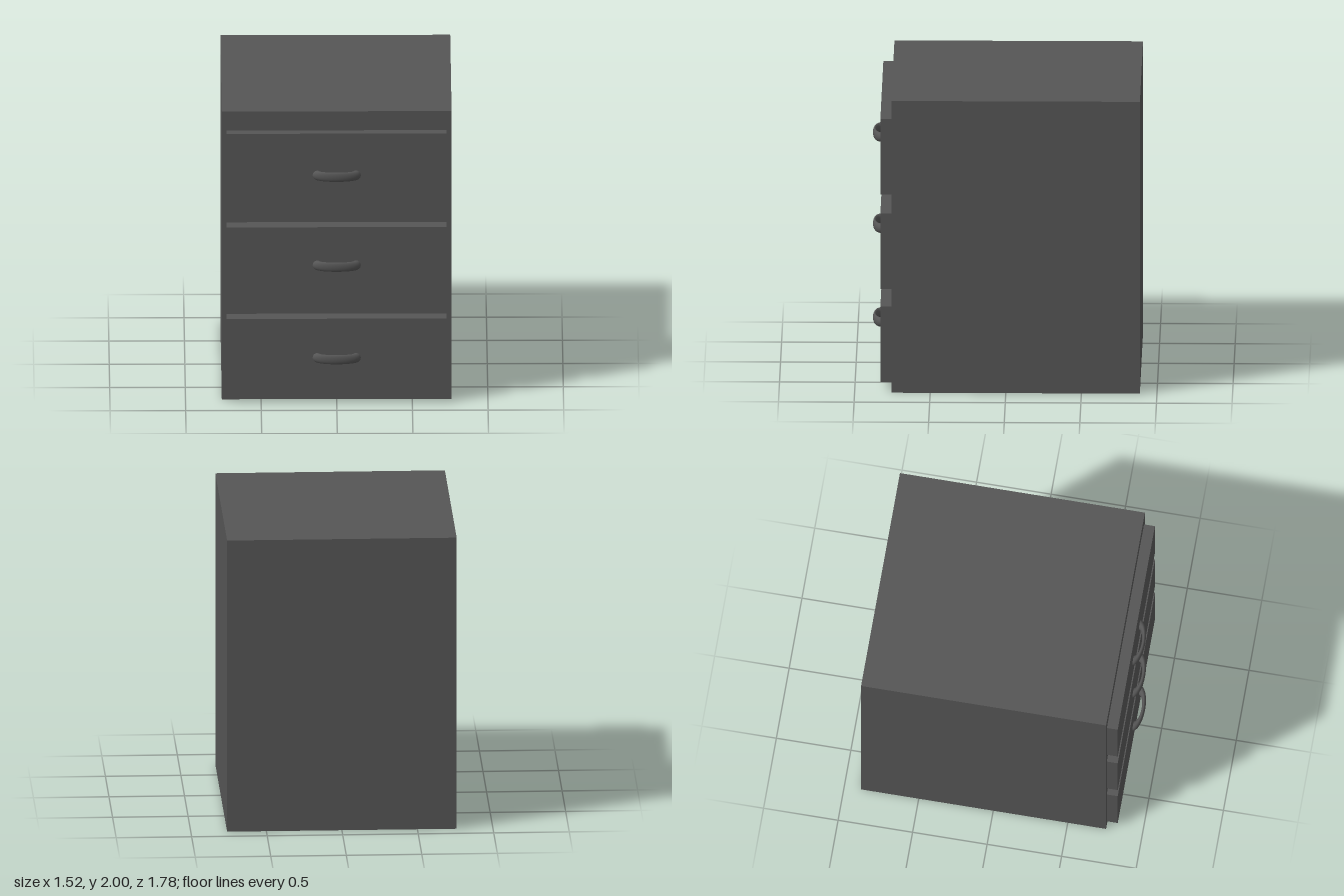
import * as THREE from 'three';

export function createModel() {
  const grey = new THREE.MeshStandardMaterial({ color: 0x555555 });
  grey.name = 'dark grey';
  const model = new THREE.Group();
  model.name = 'drawerCabinet';

  const add = (name, geometry, x, y, z, parent = model) => {
    const mesh = new THREE.Mesh(geometry, grey);
    mesh.name = name;
    mesh.position.set(x, y, z);
    parent.add(mesh);
    return mesh;
  };

  // Drawer fronts: bottom, top, top of the cabinet opening, handle height
  const drawers = [
    { name: 'topDrawer', y0: 1.35, y1: 1.868, open: 1.868, grip: 1.58 },
    { name: 'middleDrawer', y0: 0.7, y1: 1.218, open: 1.23, grip: 0.955 },
    { name: 'bottomDrawer', y0: 0.064, y1: 0.582, open: 0.594, grip: 0.312 },
  ];
  const halfW = 0.76, back = -0.887, front = 0.757, face = 0.83;
  const left = -0.729, right = 0.725, backPanel = 0.05;

  // Cabinet shell with three drawer openings
  const outline = new THREE.Shape([
    new THREE.Vector2(-halfW, 0), new THREE.Vector2(halfW, 0),
    new THREE.Vector2(halfW, 2), new THREE.Vector2(-halfW, 2),
  ]);
  for (const d of drawers) {
    outline.holes.push(new THREE.Path([
      new THREE.Vector2(left, d.y0), new THREE.Vector2(left, d.open),
      new THREE.Vector2(right, d.open), new THREE.Vector2(right, d.y0),
    ]));
  }
  add('cabinetShell', new THREE.ExtrudeGeometry(outline, {
    depth: front - back - backPanel, bevelEnabled: false,
  }), 0, 0, back + backPanel);
  add('backPanel', new THREE.BoxGeometry(halfW * 2, 2, backPanel), 0, 1, back + backPanel / 2);

  // Drawers with curved pull handles
  const depth = face - back - backPanel;
  const handle = new THREE.TorusGeometry(0.128, 0.032, 16, 32, Math.PI);
  handle.rotateX(Math.PI / 2);
  handle.scale(1, 1, 0.38);
  for (const d of drawers) {
    const group = new THREE.Group();
    group.name = d.name;
    model.add(group);
    add('drawerBox', new THREE.BoxGeometry(right - left, d.y1 - d.y0, depth),
      (left + right) / 2, (d.y0 + d.y1) / 2, face - depth / 2, group);
    add('handle', handle, 0, d.grip, face - 0.002, group);
  }
  return model;
}
